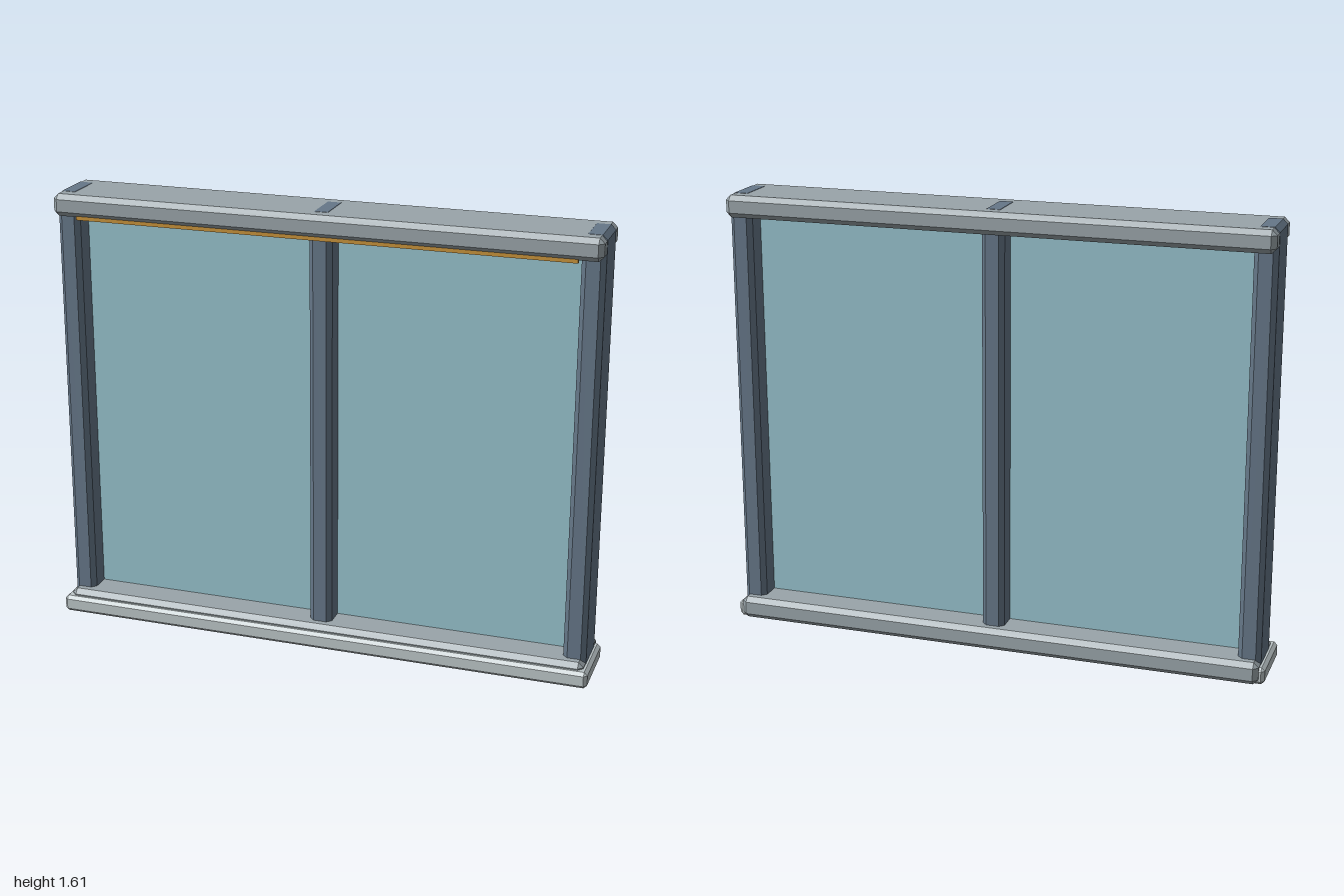
import * as THREE from 'three';
import { ConvexGeometry } from 'three/addons/geometries/ConvexGeometry.js';

const mat = (color) => new THREE.MeshStandardMaterial({ color });

// Box between two corners with every edge cut at 45 degrees
function chamferedBox([x0, y0, z0], [x1, y1, z1], c) {
  const half = [(x1 - x0) / 2, (y1 - y0) / 2, (z1 - z0) / 2];
  const points = [];
  for (const sx of [-1, 1]) for (const sy of [-1, 1]) for (const sz of [-1, 1]) {
    for (let axis = 0; axis < 3; axis++) {
      const h = half.map((v, i) => (i === axis ? v : v - c));
      points.push(new THREE.Vector3(sx * h[0], sy * h[1], sz * h[2]));
    }
  }
  const geometry = new ConvexGeometry(points);
  geometry.translate((x0 + x1) / 2, (y0 + y1) / 2, (z0 + z1) / 2);
  return geometry;
}

export function createModel() {
  const group = new THREE.Group();
  const railMat = mat(0x9aa5aa);
  const postMat = mat(0x667788);
  const sillMat = mat(0xbcc6c8);
  const glassMat = mat(0x97c2cd);
  const trimMat = mat(0xc8923a);

  const add = (name, geometry, material) => {
    const mesh = new THREE.Mesh(geometry, material);
    mesh.name = name;
    group.add(mesh);
    return mesh;
  };

  // Head and bottom rails
  add('topRail', chamferedBox([-0.98, 1.53, -0.14], [0.98, 1.61, 0.12], 0.018), railMat);
  add('bottomRail', chamferedBox([-0.98, 0.003, -0.14], [0.98, 0.085, 0.12], 0.018), railMat);

  // Projecting sill
  add('sill', chamferedBox([-1, 0.001, -0.12], [1, 0.063, 0.14], 0.012), sillMat);

  // Side posts and centre mullion, their ends showing through the rails
  for (const [name, x] of [['rightPost', -0.94], ['mullion', 0], ['leftPost', 0.94]]) {
    add(name, chamferedBox([x - 0.041, 0, -0.1], [x + 0.041, 1.611, 0.08], 0.017), postMat);
  }

  // Glass panes
  for (const [name, x] of [['rightPane', -0.465], ['leftPane', 0.465]]) {
    const pane = add(name, new THREE.BoxGeometry(0.9, 1.48, 0.016), glassMat);
    pane.position.set(x, 0.807, -0.01);
  }

  // Thin trim strip under the head rail
  const trim = add('trimStrip', new THREE.BoxGeometry(1.79, 0.016, 0.012), trimMat);
  trim.position.set(0, 1.528, 0.1);

  return group;
}
